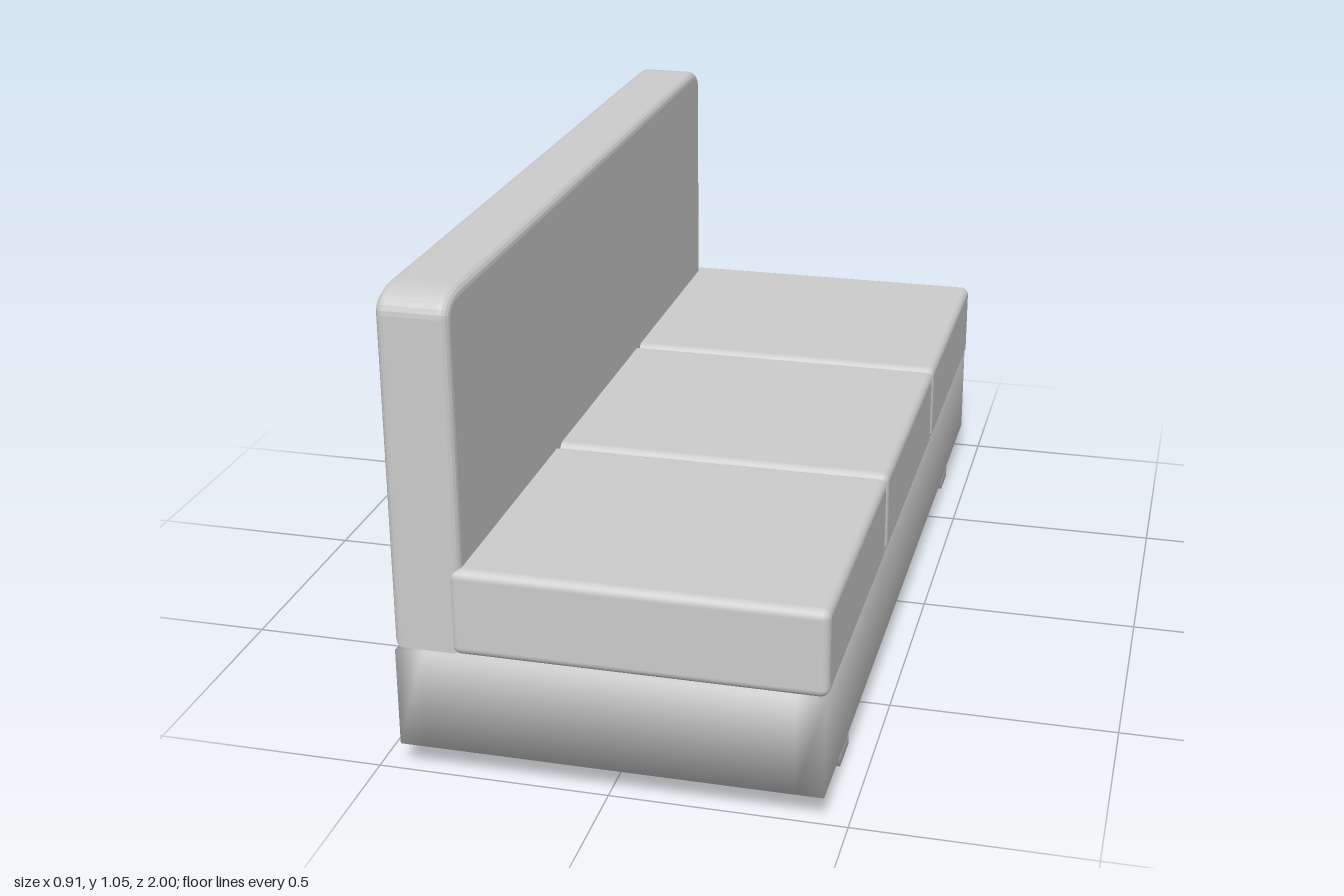
import * as THREE from 'three';
import { mergeVertices } from 'three/addons/utils/BufferGeometryUtils.js';
import { RoundedBoxGeometry } from 'three/addons/geometries/RoundedBoxGeometry.js';

const material = new THREE.MeshStandardMaterial({ color: 0xcccccc });

function add(group, name, geometry, x = 0, y = 0, z = 0) {
  const mesh = new THREE.Mesh(geometry, material);
  mesh.name = name;
  mesh.position.set(x, y, z);
  group.add(mesh);
}

// Share vertices so the shading runs softly round the edges
function soften(geometry) {
  geometry.deleteAttribute('normal');
  geometry.deleteAttribute('uv');
  const merged = mergeVertices(geometry);
  merged.computeVertexNormals();
  return merged;
}

// Upholstered base, divided into panels at the seams
function baseGeometry() {
  const xs = [-0.45, -0.39, 0, 0.39, 0.45];
  const zs = [-1, -0.39, 0, 0.39, 1];
  const geometry = new THREE.BoxGeometry(4, 0.22, 4, 4, 1, 4);
  const p = geometry.attributes.position;
  for (let i = 0; i < p.count; i++) {
    p.setX(i, xs[Math.round(p.getX(i) + 2)]);
    p.setZ(i, zs[Math.round(p.getZ(i) + 2)]);
  }
  return soften(geometry);
}

// Backrest panel: a side outline with rounded top corners, extruded across its thickness
function backrestGeometry() {
  const bevel = 0.02, thickness = 0.151;
  const z0 = -0.972 + bevel, z1 = 0.995 - bevel;
  const y0 = 0.285 + bevel, y1 = 1.055 - bevel;
  const rz = 0.075, ry = 0.03;
  const s = new THREE.Shape();
  s.moveTo(z0, y0);
  s.lineTo(z1, y0);
  s.lineTo(z1, y1 - ry);
  s.quadraticCurveTo(z1, y1, z1 - rz, y1);
  s.lineTo(z0 + rz, y1);
  s.quadraticCurveTo(z0, y1, z0, y1 - ry);
  s.closePath();
  const depth = thickness - 2 * bevel;
  return new THREE.ExtrudeGeometry(s, {
    depth, bevelEnabled: true, bevelSize: bevel, bevelThickness: bevel,
    bevelSegments: 4, curveSegments: 10,
  }).translate(0, 0, -depth / 2).rotateY(-Math.PI / 2);
}

export function createModel() {
  const group = new THREE.Group();
  group.name = 'sofa';

  add(group, 'base', baseGeometry(), 0, 0.17, 0);
  add(group, 'backrest', backrestGeometry(), -0.379, 0, 0);

  // Three seat cushions side by side
  for (const i of [-1, 0, 1]) {
    add(group, 'seatCushion', new RoundedBoxGeometry(0.785, 0.193, 0.662, 4, 0.02),
      0.0625, 0.3785, i * 0.669);
  }

  // Four short block legs
  for (const sx of [-1, 1]) {
    for (const sz of [-1, 1]) {
      add(group, 'leg', soften(new THREE.BoxGeometry(0.096, 0.064, 0.094)),
        sx * 0.393, 0.032, sz * 0.73);
    }
  }
  return group;
}
